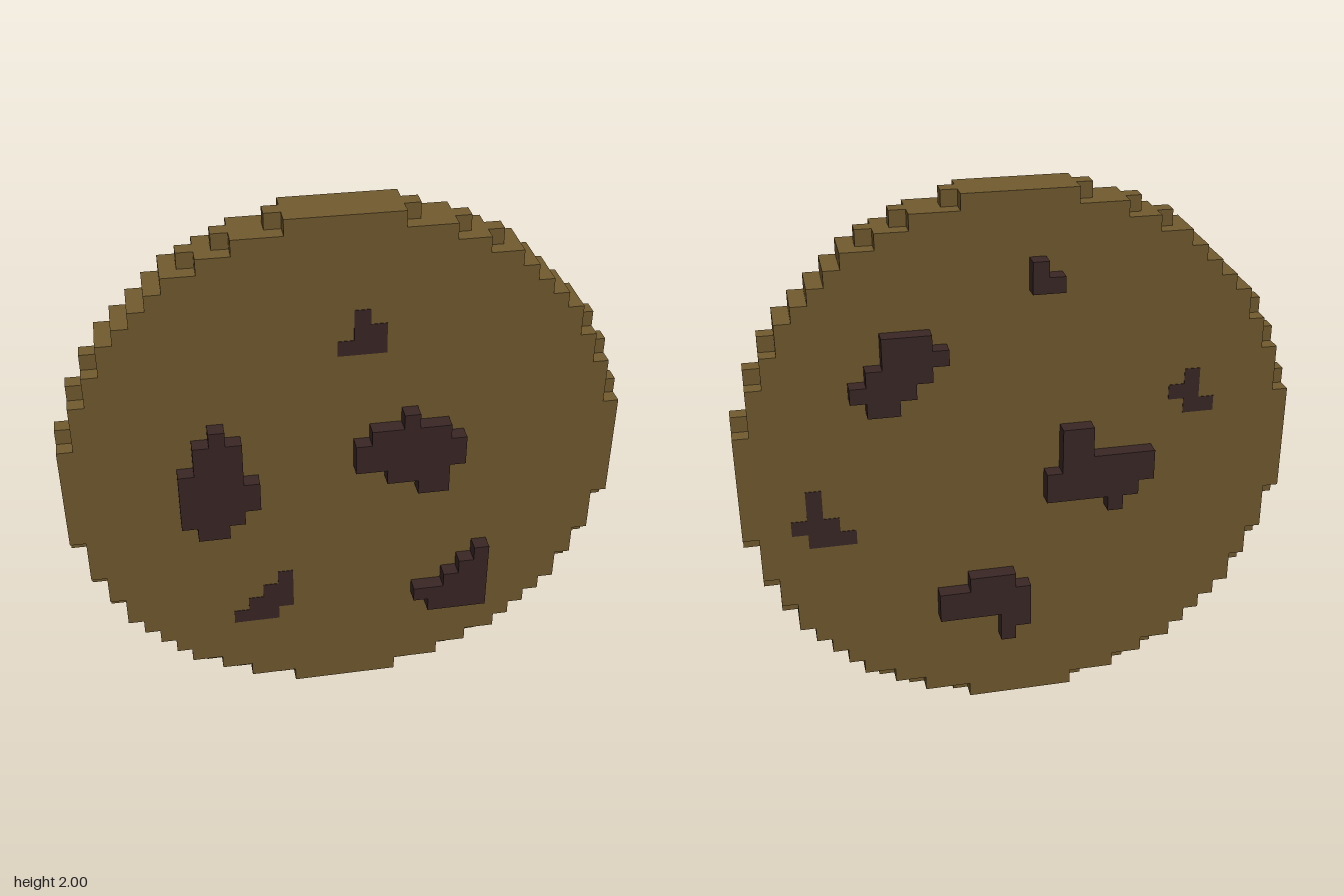
import * as THREE from 'three';

const V = 2 / 35; // edge of one cube cell; the disc is 35 cells wide and 3 thick
const dough = new THREE.MeshStandardMaterial({ color: 0x715a2e, flatShading: true });
const chocolate = new THREE.MeshStandardMaterial({ color: 0x3a2726, flatShading: true });

// Stepped slab: rows run from the top row down, each [first cell, last cell]
function slab(name, rows, topRow, z0, z1, material) {
  const right = [], left = [];
  rows.forEach(([a, b], i) => {
    const top = (topRow + 1 - i) * V, bottom = (topRow - i) * V;
    right.push(new THREE.Vector2((b + 0.5) * V, top), new THREE.Vector2((b + 0.5) * V, bottom));
    left.push(new THREE.Vector2((a - 0.5) * V, top), new THREE.Vector2((a - 0.5) * V, bottom));
  });
  // drop repeated corners and points along straight sides
  const ring = [...right, ...left.reverse()];
  const corners = ring.filter((p, i) => {
    const q = ring[(i + ring.length - 1) % ring.length], r = ring[(i + 1) % ring.length];
    return p.distanceTo(q) > 1e-6 &&
      !(Math.abs(p.x - q.x) < 1e-6 && Math.abs(p.x - r.x) < 1e-6 && p.distanceTo(r) > 1e-6);
  });
  const geometry = new THREE.ExtrudeGeometry(new THREE.Shape(corners), { depth: z1 - z0, bevelEnabled: false });
  geometry.translate(0, 0, z0);
  const mesh = new THREE.Mesh(geometry, material);
  mesh.name = name;
  return mesh;
}

// Rows of a round disc: every cell whose squared distance is within the limit
function discRows(limit) {
  const rows = [];
  for (let j = 17; j >= -17; j--) {
    const half = Math.floor(Math.sqrt(limit - j * j));
    rows.push([-half, half]);
  }
  return rows;
}

// Chips on each face, as seen looking straight at that face
const frontChips = [
  { name: 'frontChipLarge', top: 21, raised: true,
    rows: [[-8, -8], [-9, -7], [-9, -7], [-10, -7], [-10, -6], [-10, -6], [-10, -7], [-9, -8]] },
  { name: 'frontChipMiddle', top: 21, raised: true,
    rows: [[4, 4], [2, 6], [1, 7], [1, 7], [3, 6], [5, 6]] },
  { name: 'frontChipLower', top: 10, raised: true,
    rows: [[9, 9], [8, 9], [7, 9], [5, 9], [6, 9]] },
  { name: 'frontSunkenChipLower', top: 9, raised: false,
    rows: [[-4, -4], [-5, -4], [-6, -4], [-7, -5]] },
  { name: 'frontSunkenChipUpper', top: 28, raised: false,
    rows: [[1, 1], [1, 2], [0, 2]] },
];
const backChips = [
  { name: 'backChipUpper', top: 26, raised: true,
    rows: [[-8, -6], [-8, -5], [-9, -6], [-10, -7], [-9, -8]] },
  { name: 'backChipSmall', top: 30, raised: true, rows: [[1, 1], [1, 2]] },
  { name: 'backChipMiddle', top: 19, raised: true,
    rows: [[3, 4], [3, 4], [3, 8], [2, 8], [2, 7], [6, 6]] },
  { name: 'backChipLower', top: 9, raised: true,
    rows: [[-3, -1], [-5, 0], [-5, 0], [-1, 0], [-1, -1]] },
  { name: 'backSunkenChipLeft', top: 16, raised: false,
    rows: [[-13, -13], [-13, -13], [-14, -12], [-13, -11]] },
  { name: 'backSunkenChipRight', top: 22, raised: false,
    rows: [[11, 11], [10, 11], [11, 12]] },
];

function chipFace(name, chips) {
  const face = new THREE.Group();
  face.name = name;
  for (const { name: chip, top, raised, rows } of chips) {
    // sunken chips sit flush with the dough, raised ones stand one cell proud
    const z1 = raised ? 2.5 * V : 1.5 * V + 0.002;
    face.add(slab(chip, rows, top, V, z1, chocolate));
  }
  return face;
}

export function createModel() {
  const model = new THREE.Group();
  model.name = 'cookie';

  // Dough: full thickness disc with a slightly wider middle layer
  model.add(slab('doughDisc', discRows(300), 34, -1.5 * V, 1.5 * V, dough));
  model.add(slab('doughMiddleLayer', discRows(306.25), 34, -0.5 * V, 0.5 * V, dough));

  // Chocolate chips on both faces
  model.add(chipFace('frontChips', frontChips));
  const back = chipFace('backChips', backChips);
  back.rotation.y = Math.PI;
  model.add(back);
  return model;
}
